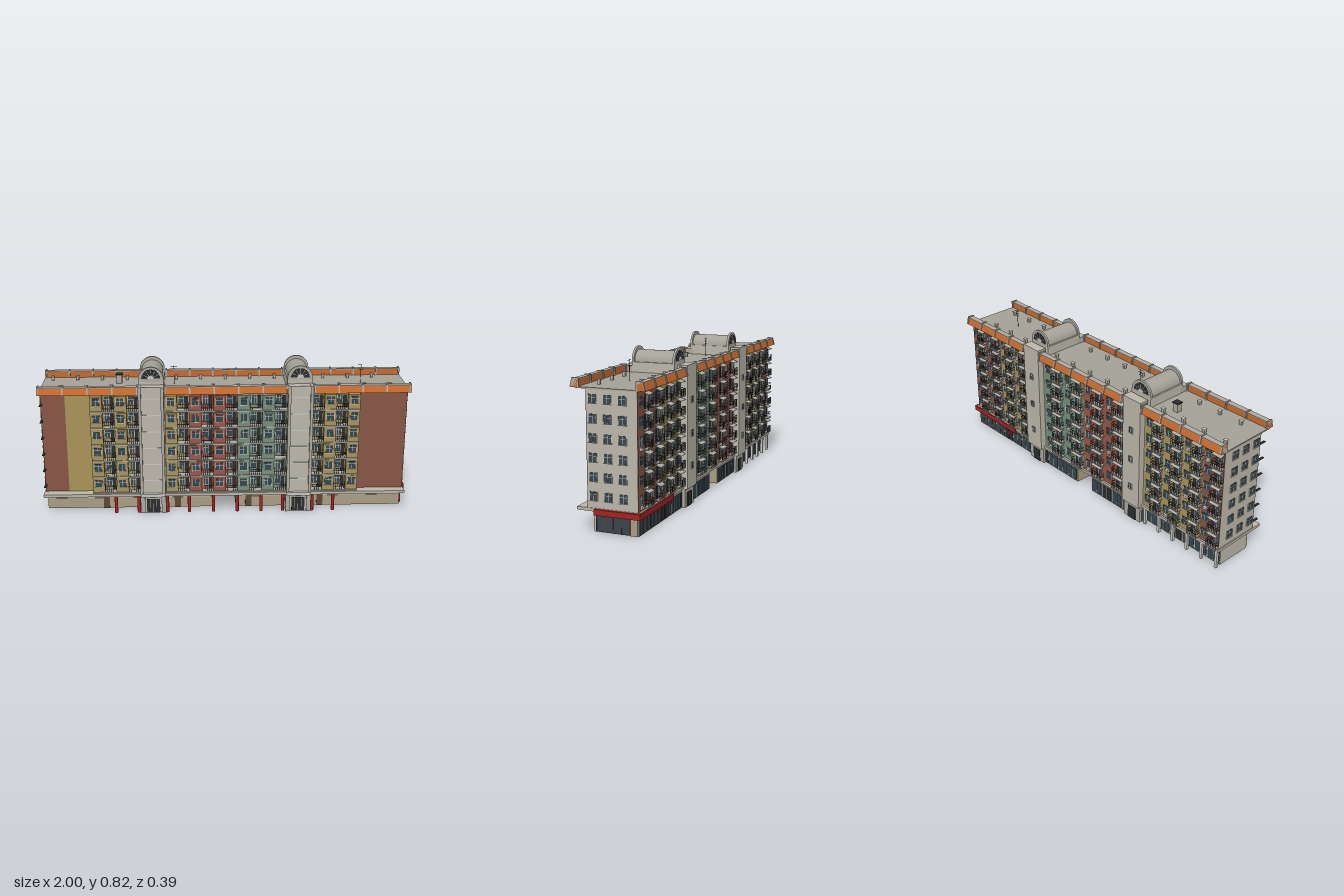
import * as THREE from 'three';
import { mergeGeometries } from 'three/addons/utils/BufferGeometryUtils.js';

const C = {
  wall: 0xbdb8ab, trim: 0xaeaba2, roof: 0xa5a298, glass: 0x36464f, dark: 0x2b2d2f, tan: 0xaa9f84, door: 0x5f4a34,
  orange: 0xc96b30, yellow: 0xa9945a, brown: 0x875645, brick: 0x9c5646, green: 0x75917b, red: 0xa32322, blue: 0x39537c, frame: 0xc9c8c2,
};

export function createModel() {
  const parts = new Map();
  // Shapes sharing a part name and colour are merged into one mesh
  function add(name, color, geo) {
    const key = name + '|' + color;
    if (!parts.has(key)) parts.set(key, { name, color, geos: [] });
    parts.get(key).geos.push(geo.index ? geo.toNonIndexed() : geo);
  }
  function box(name, color, x0, x1, y0, y1, z0, z1) {
    const g = new THREE.BoxGeometry(Math.abs(x1 - x0), Math.abs(y1 - y0), Math.abs(z1 - z0));
    add(name, color, g.translate((x0 + x1) / 2, (y0 + y1) / 2, (z0 + z1) / 2));
  }
  // Box set on a face: u runs along the face, d0..d1 is the distance outwards from the plane
  function onFace(f, name, color, u, y, w, h, d0, d1) {
    const a = f.plane + f.dir * d0, b = f.plane + f.dir * d1;
    if (f.axis === 'z') box(name, color, u - w / 2, u + w / 2, y - h / 2, y + h / 2, a, b);
    else box(name, color, a, b, y - h / 2, y + h / 2, u - w / 2, u + w / 2);
  }
  function windowAt(f, u, y, w = 0.04, h = 0.044) {
    onFace(f, 'windowGlass', C.glass, u, y, w, h, 0, 0.002);
    for (const s of [-1, 1]) onFace(f, 'windowFrame', C.frame, u + s * w / 2, y, 0.002, h, 0, 0.004);
    onFace(f, 'windowFrame', C.frame, u, y, 0.002, h, 0, 0.003);
    onFace(f, 'windowFrame', C.frame, u, y + h * 0.18, w, 0.002, 0, 0.003);
    onFace(f, 'windowSill', C.frame, u, y - h / 2, w + 0.004, 0.003, 0, 0.006);
  }
  function railing(f, u, y, w, depth) {
    for (const h of [0.018, 0.034]) {
      onFace(f, 'railing', C.dark, u, y + h, w, 0.002, depth - 0.002, depth);
      for (const s of [-1, 1]) onFace(f, 'railing', C.dark, u + s * (w / 2 - 0.001), y + h, 0.002, 0.002, 0, depth);
    }
    for (let i = 0; i <= 6; i++) onFace(f, 'railing', C.dark, u - w / 2 + 0.001 + i * (w - 0.002) / 6, y + 0.017, 0.0018, 0.034, depth - 0.002, depth);
  }
  const face = (axis, dir, plane) => ({ axis, dir, plane });
  const FRONT = face('z', 1, 0.11), BACK = face('z', -1, -0.15);
  const floors = [0, 1, 2, 3, 4, 5].map(i => 0.122 + i * 0.093);
  const towers = [-0.402, 0.396];
  const spans = [[-1, -0.47], [-0.33, 0.328], [0.464, 0.984]];

  // Main body and roof slab
  box('mainBody', C.wall, -0.995, 0.98, 0.112, 0.688, -0.15, 0.11);
  box('roofSlab', C.roof, -1, 0.984, 0.685, 0.692, -0.165, 0.165);

  // Coloured plain panels on the front
  const panel = (f, c, a, b) => onFace(f, 'facadePanel', c, (a + b) / 2, 0.401, b - a, 0.57, 0, 0.002);
  panel(FRONT, C.brown, -0.995, -0.865);
  panel(FRONT, C.yellow, -0.865, -0.73);
  panel(FRONT, C.brown, 0.72, 0.98);

  // Front bays: projecting window boxes alternating with recessed balconies
  const OUT = face('z', 1, 0.15);
  function frontBay(c, a, b, modules) {
    panel(FRONT, c, a, b);
    const w = (b - a) / (modules * 2);
    for (let i = 0; i < modules * 2; i++) {
      // The last bay is mirrored so that its outer end is a window box
      const solid = (i % 2 === 0) !== (a > 0.4), u = a + w * (i + 0.5);
      for (const y of floors) {
        box('floorSlab', C.trim, u - w / 2, u + w / 2, y - 0.008, y, 0.11, 0.157);
        if (solid) {
          box('bayBox', c, u - w / 2, u + w / 2, y, y + 0.082, 0.11, 0.15);
          windowAt(OUT, u, y + 0.05);
        } else {
          windowAt(face('z', 1, 0.112), u - 0.01, y + 0.048, 0.028, 0.05);
          onFace(FRONT, 'balconyDoor', C.dark, u + 0.017, y + 0.036, 0.02, 0.07, 0.002, 0.004);
          railing(FRONT, u, y, w, 0.045);
        }
      }
    }
  }
  frontBay(C.yellow, -0.73, -0.47, 2);
  frontBay(C.yellow, -0.33, -0.2, 1);
  frontBay(C.brick, -0.2, 0.06, 2);
  frontBay(C.green, 0.06, 0.328, 2);
  frontBay(C.yellow, 0.464, 0.72, 2);

  // Back bays: flat wall with windows, railed balconies, awnings and cooling units
  function backBay(c, a, b, modules) {
    panel(BACK, c, a, b);
    const w = (b - a) / (modules * 2), f = face('z', -1, -0.152);
    for (let i = 0; i < modules * 2; i++) floors.forEach((y, k) => {
      const u = a + w * (i + 0.5);
      if (i % 2) {
        windowAt(f, u, y + 0.048, 0.038);
        if ((i + k) % 3 === 0) onFace(f, 'coolingUnit', C.frame, u, y + 0.012, 0.022, 0.014, 0, 0.012);
      } else {
        onFace(f, 'balconySlab', C.trim, u, y + 0.002, w, 0.006, 0, 0.025);
        windowAt(f, u - 0.011, y + 0.048, 0.028, 0.05);
        onFace(f, 'balconyDoor', C.dark, u + 0.016, y + 0.04, 0.02, 0.066, 0, 0.002);
        railing(f, u, y + 0.005, w, 0.024);
        const awning = new THREE.BoxGeometry(w * 0.9, 0.002, 0.028).rotateX(-0.35);
        add('awning', C.trim, awning.translate(u, y + 0.079, -0.166));
      }
    });
  }
  backBay(C.brown, -0.995, -0.865, 1);
  backBay(C.yellow, -0.865, -0.47, 3);
  backBay(C.brick, -0.33, 0, 2);
  backBay(C.green, 0, 0.328, 2);
  backBay(C.yellow, 0.464, 0.72, 2);
  backBay(C.brown, 0.72, 0.98, 2);

  // End wall windows and the small ledges at the left corner
  for (const f of [face('x', 1, 0.98), face('x', -1, -0.995)])
    for (const y of floors) for (const z of [0.078, 0.001, -0.076]) windowAt(f, z, y + 0.052);
  for (const y of floors) box('cornerLedge', C.dark, -0.998, -0.985, y + 0.03, y + 0.033, 0.11, 0.15);

  // Sloped parapets with grey caps and ribs, front and back
  for (const [a, b] of spans) for (const s of [1, -1]) {
    const slope = (n, c, x0, x1, pts) => {
      const g = new THREE.ExtrudeGeometry(new THREE.Shape(pts.map(p => new THREE.Vector2(...p))), { depth: x1 - x0, bevelEnabled: false });
      g.rotateY(-Math.PI / 2).translate(x1, 0, 0);
      if (s < 0) g.rotateY(Math.PI).translate(x0 + x1, 0, 0);
      add(n, c, g);
    };
    slope('parapet', C.orange, a, b, [[0.152, 0.688], [0.19, 0.688], [0.179, 0.726], [0.152, 0.726]]);
    box('parapetCap', C.trim, a, b, 0.725, 0.729, s * 0.15, s * 0.181);
    const n = Math.round((b - a) / 0.132);
    for (let i = 0; i <= n; i++) {
      const x = a + 0.004 + (b - a - 0.008) * i / n;
      slope('parapetRib', C.trim, x - 0.004, x + 0.004, [[0.146, 0.69], [0.193, 0.69], [0.182, 0.733], [0.146, 0.733]]);
    }
  }

  // Stair towers
  for (const x of towers) {
    box('towerFront', C.wall, x - 0.066, x + 0.066, 0.1, 0.722, 0.1, 0.166);
    for (const s of [-1, 1]) box('towerPilaster', C.trim, x + s * 0.068, x + s * 0.052, 0.1, 0.724, 0.1, 0.178);
    for (const y of floors) box('towerBand', C.frame, x - 0.052, x + 0.052, y + 0.07, y + 0.076, 0.16, 0.169);
    box('towerBack', C.wall, x - 0.062, x + 0.062, 0.1, 0.74, -0.185, -0.13);
    for (const y of [0.215, 0.385, 0.56]) windowAt(face('z', -1, -0.185), x, y, 0.024, 0.032);
    box('towerHead', C.wall, x - 0.068, x + 0.068, 0.69, 0.745, -0.118, 0.118);
    // Vault, end arches and fan windows
    const vault = new THREE.CylinderGeometry(0.06, 0.06, 0.22, 24, 1, false, -Math.PI / 2, Math.PI);
    add('vault', C.roof, vault.rotateX(-Math.PI / 2).translate(x, 0.742, 0));
    for (const s of [-1, 1]) {
      const arch = new THREE.Shape();
      arch.moveTo(-0.068, 0).lineTo(0.068, 0).lineTo(0.068, 0.012).absarc(0, 0.012, 0.068, 0, Math.PI, false);
      const g = new THREE.ExtrudeGeometry(arch, { depth: 0.012, bevelEnabled: false, curveSegments: 16 });
      add('endArch', C.trim, g.translate(x, 0.74, s * 0.112 - 0.006));
      const fan = new THREE.CylinderGeometry(0.05, 0.05, 0.003, 20, 1, false, -Math.PI / 2, Math.PI);
      add('fanWindow', C.dark, fan.rotateX(-Math.PI / 2).translate(x, 0.757, s * 0.119));
      const hub = new THREE.CylinderGeometry(0.018, 0.018, 0.005, 16, 1, false, -Math.PI / 2, Math.PI);
      add('fanHub', C.frame, hub.rotateX(-Math.PI / 2).translate(x, 0.757, s * 0.119));
      for (let i = 0; i <= 6; i++) {
        const spoke = new THREE.BoxGeometry(0.05, 0.002, 0.005).translate(0.025, 0, 0).rotateZ(i * Math.PI / 6);
        add('fanSpoke', C.frame, spoke.translate(x, 0.757, s * 0.119));
      }
    }
    // Entrance, canopy and rear door
    box('entranceWall', C.wall, x - 0.07, x + 0.07, 0, 0.115, 0.06, 0.155);
    for (const s of [-1, 1]) box('entrancePier', C.trim, x + s * 0.07, x + s * 0.045, 0, 0.105, 0.15, 0.165);
    box('entranceCanopy', C.frame, x - 0.062, x + 0.062, 0.102, 0.12, 0.15, 0.184);
    box('entrancePlate', C.blue, x - 0.015, x + 0.015, 0.088, 0.1, 0.155, 0.16);
    box('entranceDoor', C.dark, x - 0.036, x + 0.036, 0, 0.08, 0.15, 0.158);
    for (const d of [-0.018, 0, 0.018]) box('doorMullion', C.trim, x + d - 0.001, x + d + 0.001, 0, 0.08, 0.156, 0.16);
    box('rearDoorWall', C.trim, x - 0.06, x + 0.06, 0, 0.11, -0.17, -0.12);
    box('rearDoor', C.dark, x - 0.028, x + 0.028, 0, 0.075, -0.173, -0.168);
  }

  // Ground floor blocks either side of the passage, with ledge above
  box('groundLedge', C.wall, -1, 0.984, 0.1, 0.116, -0.162, 0.166);
  for (const [a, b, z] of [[-0.99, -0.47, -0.125], [-0.47, -0.068, -0.152], [0.056, 0.975, -0.152]]) {
    box('groundBlock', C.wall, a, b, 0, 0.101, z, 0.08);
    box('groundBand', C.tan, a, b, 0.002, 0.06, 0.07, 0.082);
    // Shop glazing on the back
    const n = Math.round((b - a) / 0.085), f = face('z', -1, z), w = (b - a) / n;
    for (let i = 0; i < n; i++) {
      const u = a + w * (i + 0.5);
      onFace(f, 'shopGlass', i % 4 === 3 ? C.dark : C.glass, u, 0.045, w - 0.01, 0.08, 0, 0.003);
      onFace(f, 'shopMullion', u > 0.6 ? C.red : C.trim, u, 0.045, 0.003, 0.08, 0, 0.005);
    }
  }
  for (const x of [-0.068, 0.056]) box('passageWall', C.tan, x - 0.002, x + 0.002, 0, 0.1, -0.152, 0.08);
  for (let i = 0; i < 6; i++) box('rearPost', C.frame, -0.995 + i * 0.1, -0.98 + i * 0.1, 0, 0.1, -0.16, -0.145);
  for (const x of [-0.665, -0.27, 0.125, 0.525]) box('shopDoor', C.door, x - 0.017, x + 0.017, 0, 0.07, 0.08, 0.085);
  for (const x of [-0.607, -0.482, -0.325, -0.205, -0.072, 0.06, 0.192, 0.312, 0.475, 0.59])
    add('frontColumn', C.red, new THREE.CylinderGeometry(0.009, 0.009, 0.1, 12).translate(x, 0.05, 0.148));

  // Corner shop: glazed end and red fascia wrapping round the back
  const END = face('x', 1, 0.975);
  onFace(END, 'cornerShopGlass', C.glass, -0.022, 0.045, 0.174, 0.084, 0, 0.008);
  for (let i = 0; i <= 4; i++) onFace(END, 'cornerShopMullion', C.red, 0.065 - i * 0.0435, 0.045, 0.003, 0.084, 0, 0.01);
  onFace(END, 'cornerShopPier', C.tan, -0.129, 0.045, 0.035, 0.09, 0, 0.006);
  box('redFascia', C.red, 0.975, 1, 0.086, 0.115, -0.17, 0.07);
  box('redFascia', C.red, 0.6, 0.998, 0.086, 0.115, -0.17, -0.15);

  // Roof vents, chimney and aerials
  const clear = x => towers.every(t => Math.abs(x - t) > 0.09);
  for (let i = 0; i < 15; i++) {
    const x = -0.95 + i * 0.136;
    for (const [vx, z] of [[x, -0.1], [x + 0.065, 0.09]]) if (clear(vx) && vx < 0.95) {
      box('roofVent', C.trim, vx - 0.007, vx + 0.007, 0.69, 0.712, z - 0.007, z + 0.007);
      box('roofVentCap', C.frame, vx - 0.01, vx + 0.01, 0.712, 0.716, z - 0.01, z + 0.01);
    }
  }
  box('chimney', C.trim, -0.595, -0.565, 0.69, 0.738, -0.055, -0.025);
  box('chimneyCap', C.dark, -0.599, -0.561, 0.738, 0.743, -0.059, -0.021);
  for (const x of [-0.28, 0.74]) {
    box('aerial', C.dark, x - 0.001, x + 0.001, 0.69, 0.797, -0.001, 0.001);
    for (const [y, w] of [[0.793, 0.018], [0.778, 0.014], [0.763, 0.011]]) box('aerial', C.dark, x - w, x + w, y - 0.001, y + 0.001, -0.001, 0.001);
  }

  const model = new THREE.Group();
  model.name = 'apartmentBlock';
  for (const { name, color, geos } of parts.values()) {
    const mesh = new THREE.Mesh(mergeGeometries(geos), new THREE.MeshStandardMaterial({ color }));
    mesh.name = name;
    model.add(mesh);
  }
  return model;
}
